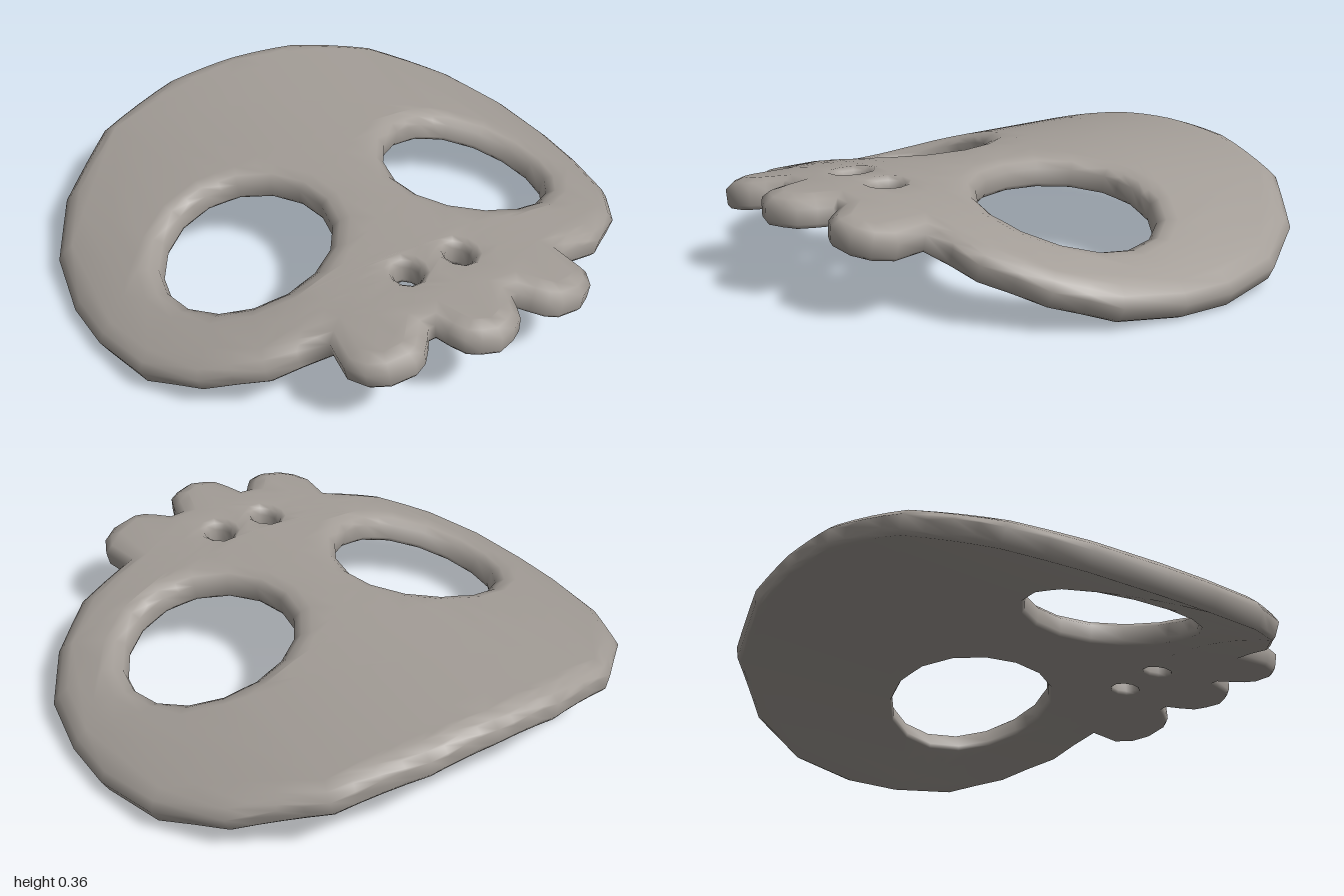
import * as THREE from 'three';
import { mergeVertices } from 'three/addons/utils/BufferGeometryUtils.js';

// Bend: radius of the underside, height of the bend axis below the ground, layer where plan widths hold
const RADIUS = 1.89, AXIS = 1.628, MID = 0.07;

// Right half of the outline (x, z), from the middle of the brow round to the middle tooth
const HALF = [
  [0, -0.945], [0.26, -0.935], [0.575, -0.85], [0.825, -0.64], [0.955, -0.41], [1, -0.16],
  [0.995, 0.04], [0.95, 0.27], [0.83, 0.455], [0.655, 0.595], [0.45, 0.645],
  [0.465, 0.76], [0.43, 0.83], [0.37, 0.872], [0.28, 0.882], [0.235, 0.86], [0.2, 0.82],
  [0.17, 0.78], [0.145, 0.78], [0.13, 0.83], [0.105, 0.89], [0.06, 0.92], [0, 0.942],
];

// Layers from top to bottom: inset of the rim and height in the plate
const LAYERS = [[0.065, 0.1], [0.028, 0.088], [0, 0.066], [0, 0.015], [0.01, 0]];

function ellipse(cx, cz, rx, rz, n) {
  return Array.from({ length: n }, (_, i) => {
    const a = -i / n * Math.PI * 2;
    return new THREE.Vector2(cx + rx * Math.cos(a), cz + rz * Math.sin(a));
  });
}

// Moves a closed loop into the material, which lies to the left of travel
function inset(loop, d) {
  const n = loop.length;
  return loop.map((p, i) => {
    const e1 = p.clone().sub(loop[(i + n - 1) % n]).normalize();
    const e2 = loop[(i + 1) % n].clone().sub(p).normalize();
    const m = new THREE.Vector2(-e1.y - e2.y, e1.x + e2.x).normalize();
    const c = Math.max(0.7, m.x * -e1.y + m.y * e1.x);
    return p.clone().addScaledVector(m, d / c);
  });
}

function maskGeometry() {
  const outline = [...HALF, ...HALF.slice(1, -1).reverse().map(([x, z]) => [-x, z])]
    .map(([x, z]) => new THREE.Vector2(x, z));
  const loops = [{ pts: outline, k: 1 }];
  for (const s of [-1, 1]) {
    loops.push({ pts: ellipse(s * 0.447, 0.06, 0.298, 0.305, 16), k: 0.95 });  // eye
    loops.push({ pts: ellipse(s * 0.1, 0.54, 0.043, 0.056, 10), k: 0.42 });    // nostril
  }
  const layers = LAYERS.map(([d, t]) => loops.map(({ pts, k }) =>
    inset(pts, d * k).map((p) => new THREE.Vector3(p.x, t, p.y))));

  const out = [];
  // Halves every edge that is wide in x, so that the plate bends smoothly
  function tri(a, b, c) {
    const e = [[a, b, c], [b, c, a], [c, a, b]]
      .sort((p, q) => Math.abs(q[0].x - q[1].x) - Math.abs(p[0].x - p[1].x))[0];
    if (Math.abs(e[0].x - e[1].x) > 0.11) {
      const m = e[0].clone().add(e[1]).multiplyScalar(0.5);
      tri(e[0], m, e[2]);
      tri(m, e[1], e[2]);
    } else {
      for (const p of [a, b, c]) {
        const sin = p.x / (RADIUS + MID), r = RADIUS + p.y;
        out.push(r * sin, r * Math.sqrt(1 - sin * sin) - AXIS, p.z);
      }
    }
  }

  // Walls of the rim and of the holes
  for (let l = 0; l < layers.length - 1; l++) {
    layers[l].forEach((up, h) => {
      const low = layers[l + 1][h];
      up.forEach((p, i) => {
        const j = (i + 1) % up.length;
        tri(p, up[j], low[i]);
        tri(up[j], low[j], low[i]);
      });
    });
  }

  // Upper and lower faces
  for (const [layer, facing] of [[layers[0], 1], [layers[layers.length - 1], -1]]) {
    const flat = layer.map((loop) => loop.map((p) => new THREE.Vector2(p.x, p.z)));
    const all = layer.flat();
    for (const [i, j, k] of THREE.ShapeUtils.triangulateShape(flat[0], flat.slice(1))) {
      const a = all[i], b = all[j], c = all[k];
      const up = (b.z - a.z) * (c.x - a.x) - (b.x - a.x) * (c.z - a.z);
      if (up * facing > 0) tri(a, b, c);
      else tri(a, c, b);
    }
  }

  const raw = new THREE.BufferGeometry();
  raw.setAttribute('position', new THREE.Float32BufferAttribute(out, 3));
  const geometry = mergeVertices(raw, 1e-5);
  geometry.computeVertexNormals();
  return geometry;
}

export function createModel() {
  const stone = new THREE.MeshStandardMaterial({ color: 0xa39d97 });
  stone.name = 'warm grey';
  const mask = new THREE.Mesh(maskGeometry(), stone);
  mask.name = 'skullMask';
  const group = new THREE.Group();
  group.name = 'skullPlate';
  group.add(mask);
  return group;
}
